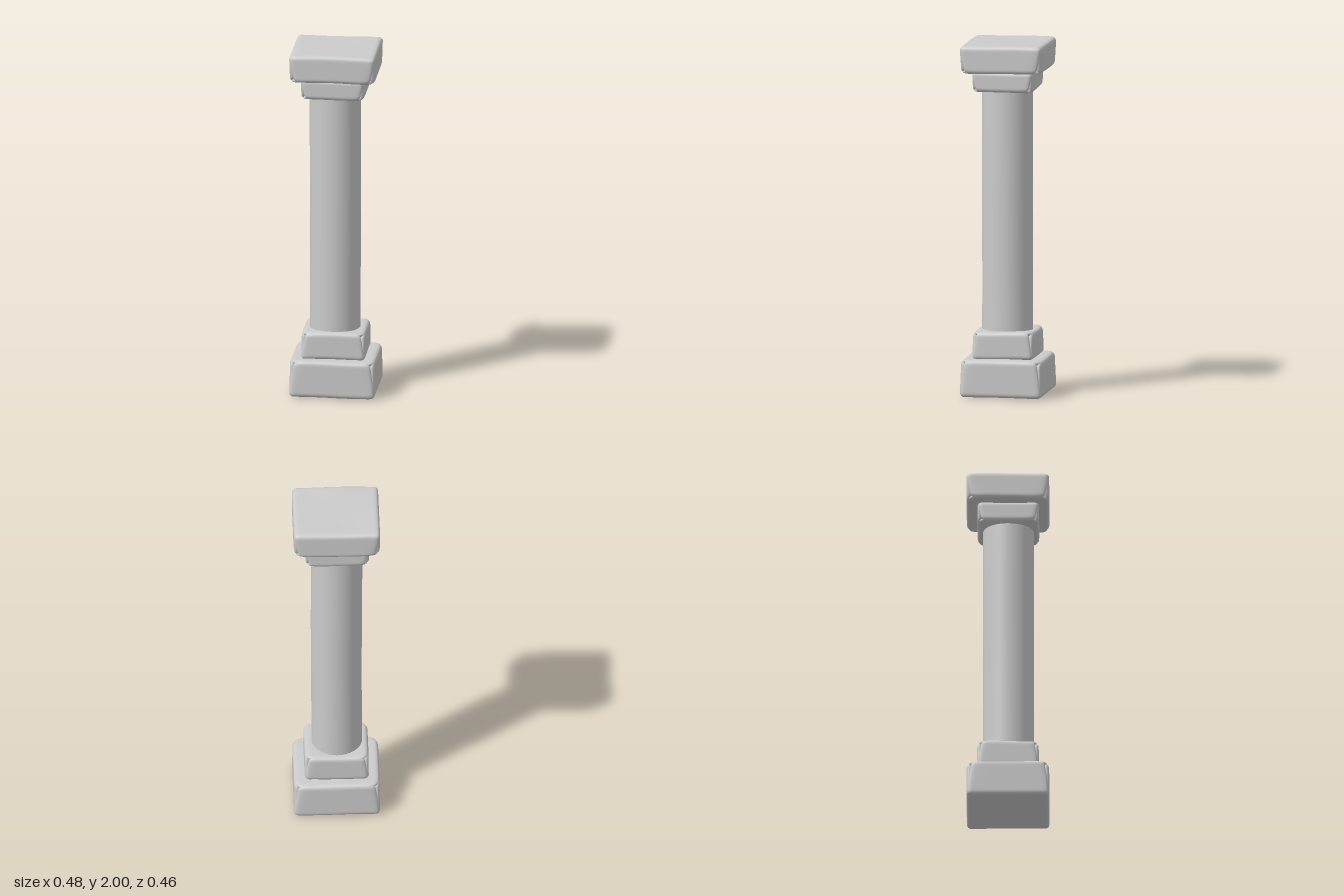
import * as THREE from 'three';
import { mergeVertices } from 'three/addons/utils/BufferGeometryUtils.js';

const material = new THREE.MeshStandardMaterial({ color: 0xcccccc });

// Weld the seams and smooth the normals.
function smooth(geometry) {
  geometry.deleteAttribute('uv');
  geometry.deleteAttribute('normal');
  const welded = mergeVertices(geometry, 1e-5);
  welded.computeVertexNormals();
  return welded;
}

function addMesh(group, name, geometry, x, y, z) {
  const mesh = new THREE.Mesh(geometry, material);
  mesh.name = name;
  mesh.position.set(x, y, z);
  group.add(mesh);
}

// Hand-worn stone block: rounded edges, corners worn toward one end (wearSide: 1 top, -1 bottom).
function stoneBlock(w, h, d, radius, wearSide, phase) {
  const geometry = new THREE.BoxGeometry(2, 2, 2, 24, 24, 24);
  const half = new THREE.Vector3(w / 2, h / 2, d / 2);
  const inner = half.clone().subScalar(radius);
  const outer = inner.clone().negate();
  const pos = geometry.attributes.position;
  const p = new THREE.Vector3();
  const core = new THREE.Vector3();
  for (let i = 0; i < pos.count; i++) {
    p.fromBufferAttribute(pos, i);
    // Crowd the grid toward the edges, then round them.
    p.set(Math.sin(p.x * Math.PI / 2), Math.sin(p.y * Math.PI / 2), Math.sin(p.z * Math.PI / 2));
    const corner = Math.abs(p.x * p.z) ** 10;
    const end = (1 + p.y * wearSide) / 2;
    const ripple = 0.003 * Math.sin(3 * p.x + phase) * Math.cos(2.5 * p.z - phase);
    p.multiply(half);
    core.copy(p).clamp(outer, inner);
    p.sub(core).setLength(radius).add(core);
    // Worn corners and a faint unevenness on the faces.
    const wear = 0.022 * corner * end * end;
    p.x -= Math.sign(p.x) * wear;
    p.z -= Math.sign(p.z) * wear;
    p.y -= wearSide * wear * 0.8;
    p.y += ripple * Math.abs(p.y) / half.y;
    pos.setXYZ(i, p.x, p.y, p.z);
  }
  return smooth(geometry);
}

// Shaft with a very slightly uneven radius.
function shaft(radius, height) {
  const geometry = new THREE.CylinderGeometry(radius, radius, height, 48, 20, true);
  const pos = geometry.attributes.position;
  for (let i = 0; i < pos.count; i++) {
    const x = pos.getX(i), y = pos.getY(i), z = pos.getZ(i);
    const s = 1 + 0.012 * Math.sin(4 * y + 6 * x) * Math.cos(8 * z);
    pos.setXYZ(i, x * s, y, z * s);
  }
  return smooth(geometry);
}

export function createModel() {
  const column = new THREE.Group();
  column.name = 'column';

  // name, width, depth, bottom, top, x, z, worn end
  const blocks = [
    ['basePlinth', 0.482, 0.464, 0.005, 0.217, 0, 0, 1],
    ['baseStep', 0.36, 0.346, 0.212, 0.37, 0, 0, 1],
    ['capitalNeck', 0.358, 0.346, 1.727, 1.845, -0.003, 0.002, -1],
    ['capitalSlab', 0.484, 0.464, 1.84, 1.998, 0, 0, -1],
  ];
  blocks.forEach(([name, w, d, y0, y1, x, z, worn], i) => {
    addMesh(column, name, stoneBlock(w, y1 - y0, d, 0.025, worn, i * 1.7), x, (y0 + y1) / 2, z);
  });

  // Round shaft, its ends sunk into the blocks
  addMesh(column, 'shaft', shaft(0.143, 1.4), -0.003, 1.048, 0.003);
  return column;
}
